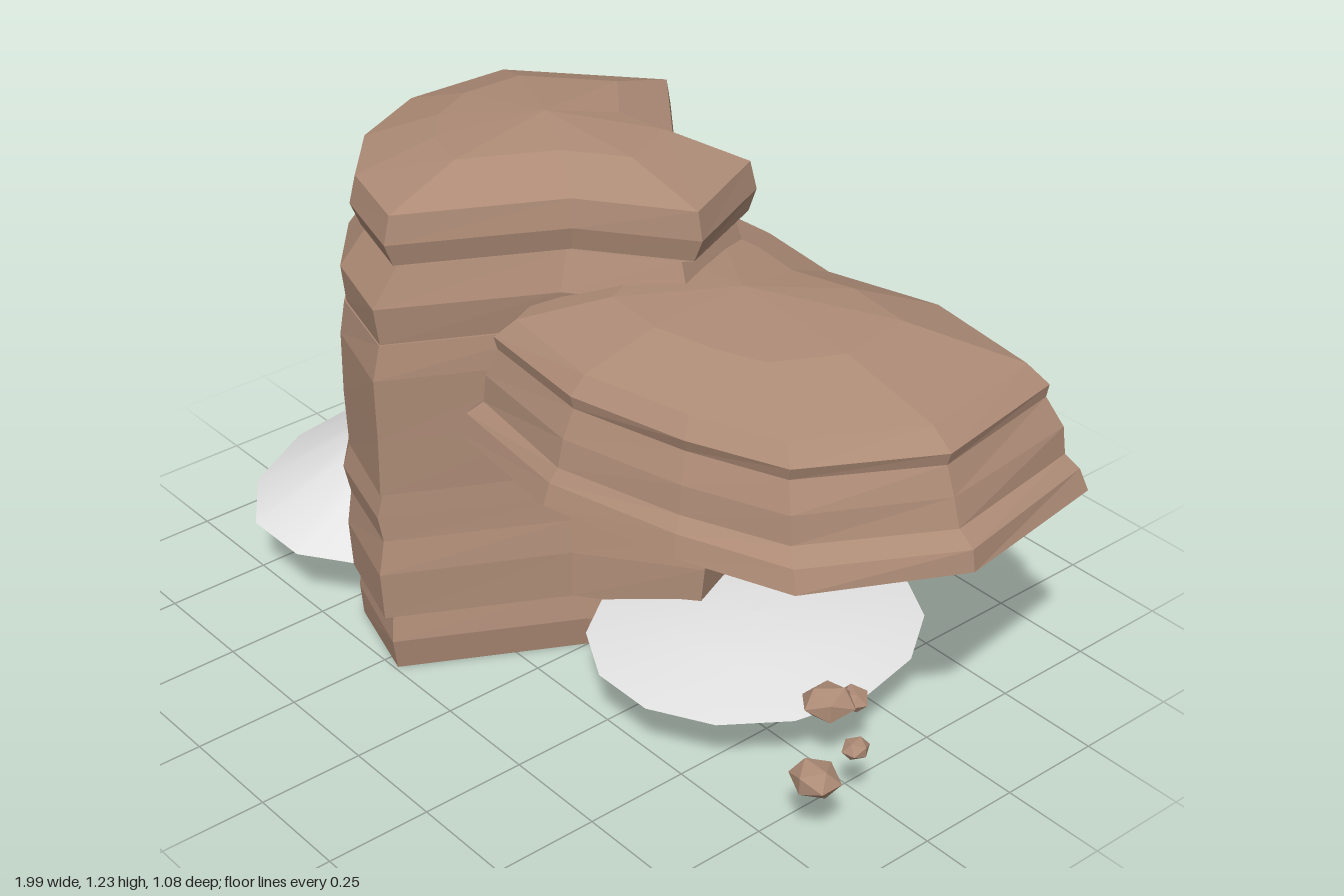
import * as THREE from 'three';

const rock = new THREE.MeshStandardMaterial({ name: 'sandstone', color: 0xad8b76, flatShading: true, side: THREE.DoubleSide });
const pale = new THREE.MeshStandardMaterial({ name: 'paleDrift', color: 0xe4e4e4, side: THREE.DoubleSide });

function seeded(seed) {
  return () => {
    seed = (seed * 16807) % 2147483647;
    return seed / 2147483647 - 0.5;
  };
}

// Loft one outline (x, z from the centre) through rings [y, scale, xShift, zShift]
function strata(name, centre, outline, rings, { jitter = 0, closed = false, seed = 7 } = {}) {
  const rnd = seeded(seed);
  const n = outline.length;
  const loops = rings.map(([y, s, dx = 0, dz = 0]) => outline.map(([x, z]) => {
    const k = s * (1 + rnd() * jitter);
    return [centre[0] + x * k + dx, y, centre[1] + z * k + dz];
  }));
  const pos = [];
  const tri = (a, b, c) => pos.push(...a, ...b, ...c);
  for (let r = 0; r < rings.length - 1; r++) {
    for (let i = 0; i < n; i++) {
      const j = (i + 1) % n;
      const a = loops[r][i], b = loops[r][j], c = loops[r + 1][j], d = loops[r + 1][i];
      tri(a, b, c);
      if (rings[r + 1][1] > 0) tri(a, c, d);
    }
  }
  if (closed) {
    const base = [centre[0], rings[0][0], centre[1]];
    for (let i = 0; i < n; i++) tri(base, loops[0][(i + 1) % n], loops[0][i]);
  }
  const geo = new THREE.BufferGeometry();
  geo.setAttribute('position', new THREE.Float32BufferAttribute(pos, 3));
  geo.computeVertexNormals();
  const mesh = new THREE.Mesh(geo, rock);
  mesh.name = name;
  return mesh;
}

// Smooth low mound, open underneath
function drift(name, x, z, rx, rz, height, sides, mid) {
  const pts = [
    new THREE.Vector2(1, 0),
    new THREE.Vector2(0.5, height * mid),
    new THREE.Vector2(0.2, height * 0.93),
    new THREE.Vector2(0, height),
  ];
  const geo = new THREE.LatheGeometry(pts, sides, Math.PI / 2);
  geo.scale(rx, 1, rz);
  const mesh = new THREE.Mesh(geo, pale);
  mesh.position.set(x, 0.165, z);
  mesh.name = name;
  return mesh;
}

export function createModel() {
  const model = new THREE.Group();
  model.name = 'layeredRockFormation';

  // Layered pillar with a shallow domed cap, open at the bottom
  const pillarOutline = [
    [0.485, -0.04], [0.37, -0.31], [0.13, -0.27], [-0.11, -0.46], [-0.42, -0.18],
    [-0.43, 0.1], [-0.33, 0.31], [-0.17, 0.45], [0.05, 0.515], [0.25, 0.14],
  ];
  const pillarRings = [
    [0, 1.03, 0.01, -0.04], [0.08, 1.06, 0.015, -0.04], [0.163, 1.03, 0.005, -0.04],
    [0.165, 1.0, 0.03, 0.015], [0.28, 1.02, 0.025, 0.01], [0.36, 0.99, 0.02, 0.01],
    [0.42, 1.03, 0.01, -0.005], [0.49, 0.99, 0.015, 0],
    [0.49, 1.0, 0.03, 0.01], [0.63, 1.0, 0.03, 0.01], [0.78, 1.0, 0.03, 0.015], [0.86, 0.97, 0.03, 0.015],
    [0.86, 0.93, 0.03, 0.03], [0.95, 0.95, 0.03, 0.035], [1.035, 0.85, 0.04, 0.02],
    [1.035, 0.9, 0.03], [1.09, 0.94, 0.03], [1.155, 0.91, 0.03],
    [1.212, 0.53, 0.02], [1.232, 0, 0.01],
  ];
  model.add(strata('pillar', [-0.27, 0], pillarOutline, pillarRings, { jitter: 0.015 }));

  // Overhanging shelf, flat underneath
  const shelfOutline = [
    [0.7, -0.01], [0.64, -0.415], [0.27, -0.455], [-0.05, -0.36], [-0.32, -0.39], [-0.6, -0.37],
    [-0.6, -0.02], [-0.39, 0.46], [-0.05, 0.5], [0.27, 0.42], [0.52, 0.32],
  ];
  const shelfRings = [
    [0.64, 1], [0.69, 0.97], [0.72, 0.92], [0.785, 0.9],
    [0.85, 0.85], [0.88, 0.865], [0.922, 0.8],
    [0.978, 0.45], [1.005, 0],
  ];
  model.add(strata('overhangingShelf', [0.3, -0.08], shelfOutline, shelfRings, { jitter: 0.02, closed: true, seed: 23 }));

  // Small lump on the pillar's side below the shelf
  const lumpOutline = Array.from({ length: 8 }, (_, i) => {
    const a = (i + 0.5) * Math.PI / 4;
    return [0.075 * Math.cos(a), -0.075 * Math.sin(a)];
  });
  model.add(strata('sideLump', [0.14, -0.24], lumpOutline, [
    [0.125, 0.95], [0.165, 1.05], [0.165, 0.95], [0.2, 1], [0.25, 0.78], [0.262, 0.6], [0.272, 0],
  ], { jitter: 0.1, closed: true, seed: 5 }));

  // Pale drifts against the pillar and under the shelf
  model.add(drift('tallDrift', -0.615, 0, 0.385, 0.555, 0.205, 14, 0.56));
  model.add(drift('flatDrift', 0.36, -0.09, 0.35, 0.4, 0.035, 14, 0.8));

  // Scattered pebbles: x, y, z, radius
  const pebbles = [
    [0.865, 0.19, 0.205, 0.055], [0.7, 0.195, 0.01, 0.058],
    [0.845, 0.188, 0.07, 0.032], [0.72, 0.19, -0.045, 0.037],
  ];
  pebbles.forEach(([x, y, z, r], i) => {
    const pebble = new THREE.Mesh(new THREE.IcosahedronGeometry(r, 0), rock);
    pebble.scale.set(1.1, 0.72, 0.95);
    pebble.rotation.y = i * 0.9;
    pebble.position.set(x, y, z);
    pebble.name = 'pebble';
    model.add(pebble);
  });

  return model;
}
